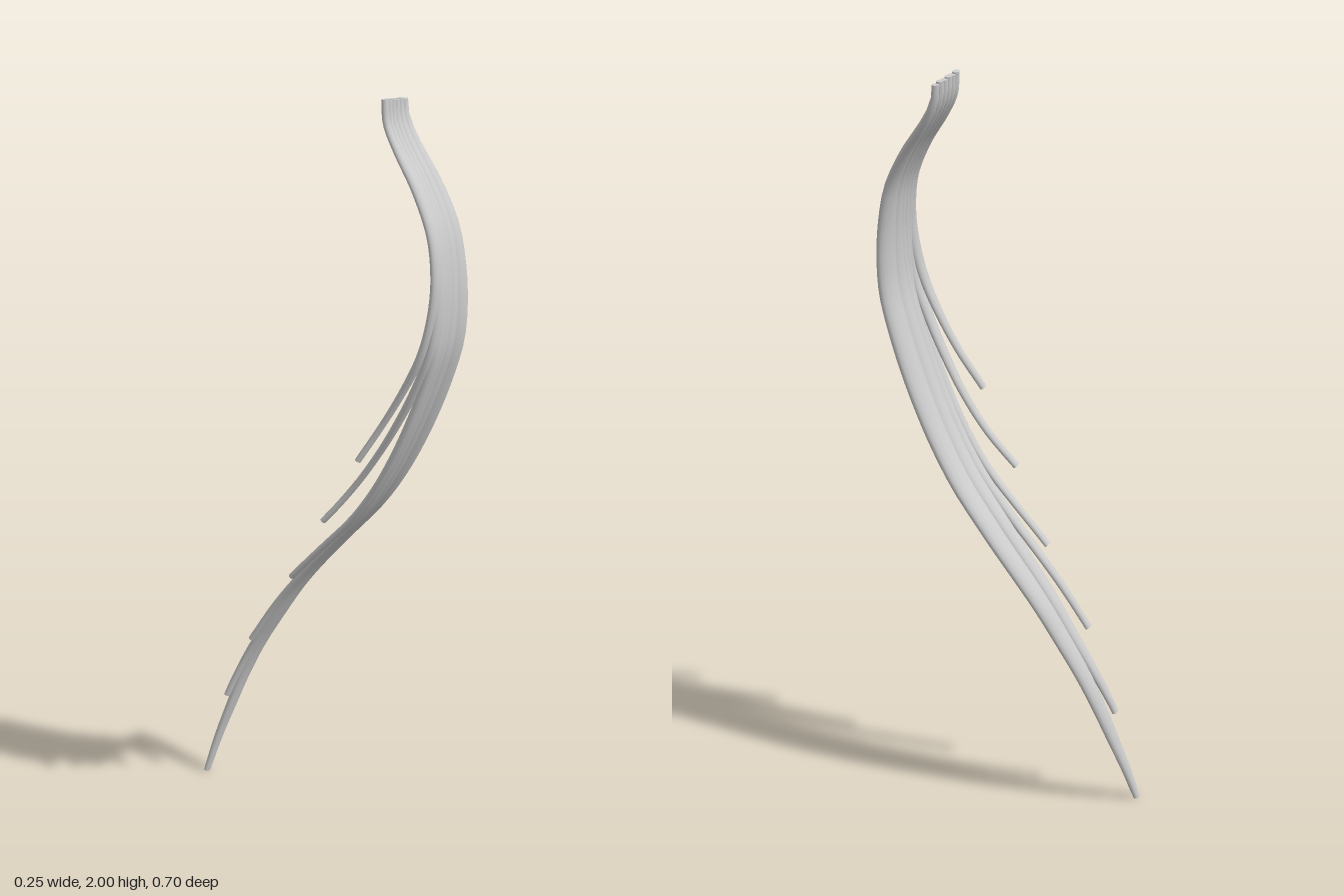
import * as THREE from 'three';

const material = new THREE.MeshStandardMaterial({ color: 0xcccccc });

// Shared S-shaped sweep of the lock: points [y, z] from root to longest tip
const SPINE = [[2, 0.15], [1.94, 0.157], [1.88, 0.19], [1.8, 0.248], [1.7, 0.302], [1.6, 0.325], [1.5, 0.332],
  [1.4, 0.325], [1.3, 0.297], [1.2, 0.261], [1.1, 0.218], [1, 0.167], [0.9, 0.103], [0.8, 0.02], [0.7, -0.06],
  [0.6, -0.13], [0.5, -0.185], [0.4, -0.235], [0.3, -0.273], [0.2, -0.302], [0.1, -0.328], [0, -0.347]];

// Strands, longest first: sideways path [y, x], tip depth and greatest half width
const STRANDS = [
  { path: [[1.985, 0.1], [1.8, 0.094], [1.6, 0.088], [1.4, 0.086], [1.2, 0.083], [1, 0.077], [0.78, 0.066],
    [0.65, 0.045], [0.47, 0.005], [0.25, -0.048], [0, -0.117]], tipZ: -0.347, half: 0.038 },
  { path: [[1.99, 0.083], [1.8, 0.071], [1.6, 0.056], [1.4, 0.042], [1.2, 0.032], [1, 0.025], [0.78, 0.011],
    [0.6, -0.015], [0.42, -0.053], [0.26, -0.099]], tipZ: -0.282, half: 0.03 },
  { path: [[1.99, 0.067], [1.8, 0.052], [1.6, 0.034], [1.4, 0.015], [1.2, 0], [1, -0.014], [0.8, -0.036],
    [0.64, -0.073], [0.48, -0.116]], tipZ: -0.177, half: 0.022 },
  { path: [[1.995, 0.051], [1.8, 0.037], [1.6, 0.016], [1.4, -0.006], [1.2, -0.022], [1, -0.038], [0.85, -0.06],
    [0.7, -0.098]], tipZ: -0.052, half: 0.02 },
  { path: [[1.995, 0.036], [1.8, 0.022], [1.6, 0], [1.4, -0.023], [1.2, -0.036], [1.1, -0.046],
    [1, -0.068], [0.9, -0.107]], tipZ: 0.06, half: 0.02 },
  { path: [[2, 0.021], [1.8, 0.008], [1.6, -0.016], [1.4, -0.042], [1.3, -0.053], [1.2, -0.073],
    [1.1, -0.107]], tipZ: 0.17, half: 0.02 },
];

// Smooth interpolation of a [position, value] table that runs downwards
function sample(table, y) {
  let i = 0;
  while (i < table.length - 2 && y < table[i + 1][0]) i++;
  const at = (k) => table[Math.min(Math.max(k, 0), table.length - 1)];
  const slope = (k) => (at(k + 1)[1] - at(k - 1)[1]) / (at(k + 1)[0] - at(k - 1)[0]);
  const [y0, a] = at(i), [y1, b] = at(i + 1);
  const h = y1 - y0, s = THREE.MathUtils.clamp((y - y0) / h, 0, 1), s2 = s * s, s3 = s2 * s;
  return a * (2 * s3 - 3 * s2 + 1) + b * (3 * s2 - 2 * s3)
    + h * (slope(i) * (s3 - 2 * s2 + s) + slope(i + 1) * (s3 - s2));
}

// Flattened tube that swells in the middle and narrows at root and tip
function strandGeometry({ path, tipZ, half }, index) {
  const rings = 56, sides = 14;
  const top = path[0][0], bottom = path[path.length - 1][0];
  const tipShift = tipZ - sample(SPINE, bottom);
  const centre = (t) => {
    const y = THREE.MathUtils.lerp(top, bottom, t);
    const belly = 0.002 * index * Math.sin(Math.PI * t);
    const z = sample(SPINE, y) + belly + tipShift * THREE.MathUtils.smoothstep(t, 0.4, 1);
    return new THREE.Vector3(sample(path, y), y, z);
  };
  const widths = [[1, 0.011], [0.85, half * 0.62], [0.6, half * 0.88], [0.36, half],
    [0.22, half * 0.88], [0.1, half * 0.6], [0, 0.011]];
  const positions = [], indices = [];
  for (let r = 0; r <= rings; r++) {
    const t = r / rings, p = centre(t);
    const tangent = centre(Math.min(t + 0.01, 1)).sub(centre(Math.max(t - 0.01, 0))).normalize();
    const normal = new THREE.Vector3(1, 0, 0).cross(tangent).normalize();
    const across = tangent.clone().cross(normal);
    const w = sample(widths, t), d = 0.004 + 0.35 * w;
    for (let s = 0; s < sides; s++) {
      const a = (s / sides) * Math.PI * 2;
      const v = p.clone().addScaledVector(across, Math.cos(a) * w).addScaledVector(normal, Math.sin(a) * d);
      positions.push(v.x, Math.max(v.y, 0), v.z);
    }
  }
  for (let r = 0; r < rings; r++) {
    for (let s = 0; s < sides; s++) {
      const a = r * sides + s, b = r * sides + (s + 1) % sides;
      indices.push(a, a + sides, b, b, a + sides, b + sides);
    }
  }
  // End caps with their own vertices, so their edges stay sharp
  for (const r of [0, rings]) {
    const start = positions.length / 3;
    positions.push(...positions.slice(r * sides * 3, (r + 1) * sides * 3));
    for (let s = 1; s < sides - 1; s++) {
      indices.push(start, start + (r ? s + 1 : s), start + (r ? s : s + 1));
    }
  }
  const geometry = new THREE.BufferGeometry();
  geometry.setAttribute('position', new THREE.Float32BufferAttribute(positions, 3));
  geometry.setIndex(indices);
  geometry.computeVertexNormals();
  return geometry;
}

export function createModel() {
  const lock = new THREE.Group();
  lock.name = 'hairLock';
  STRANDS.forEach((strand, i) => {
    const mesh = new THREE.Mesh(strandGeometry(strand, i), material);
    mesh.name = `strand${i + 1}`;
    lock.add(mesh);
  });
  return lock;
}
